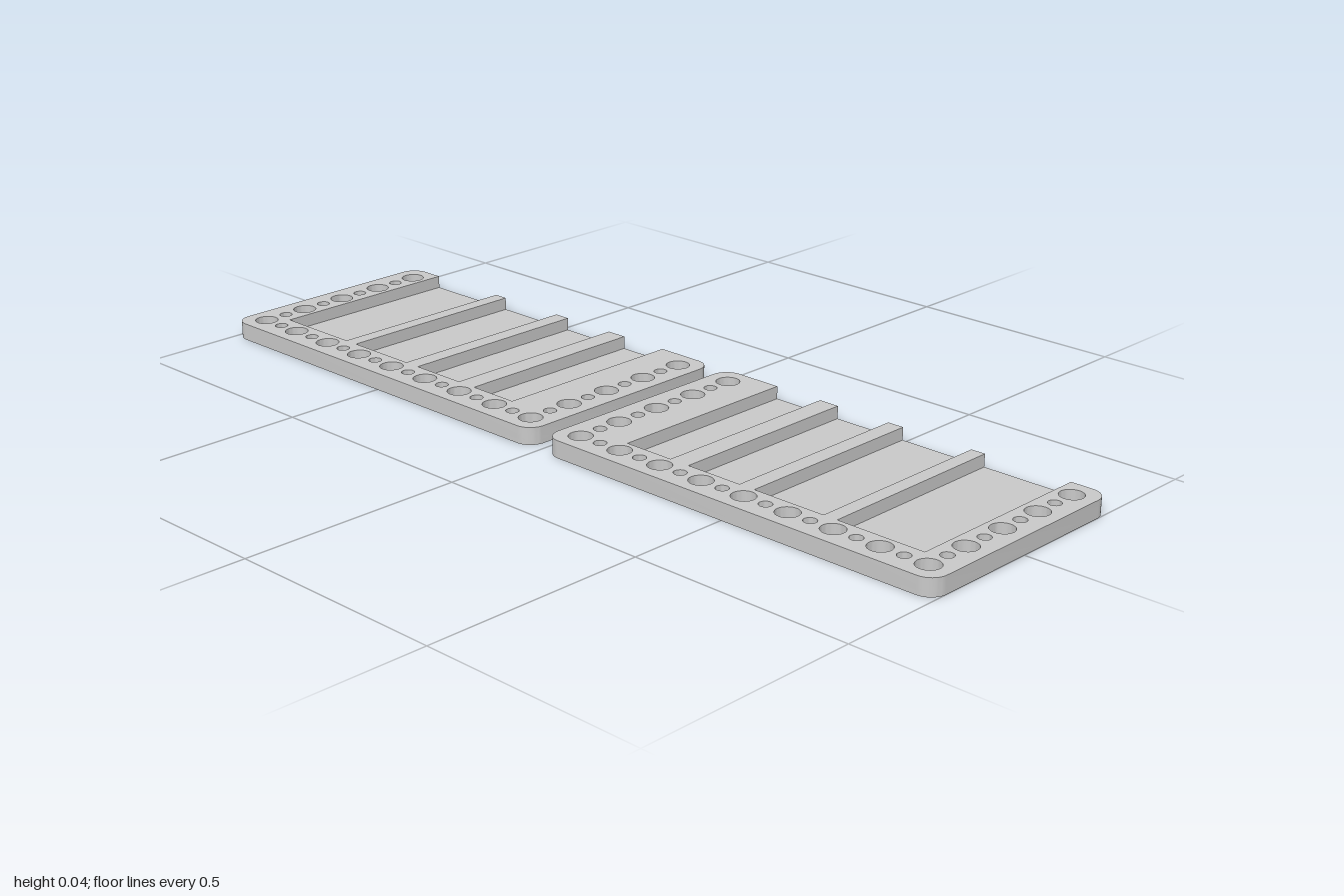
import * as THREE from 'three';
import { toCreasedNormals } from 'three/addons/utils/BufferGeometryUtils.js';

const HEIGHT = 0.038, FLOOR = 0.01;           // full thickness and tray floor thickness
const X0 = 0.021, X1 = 1, Z = 0.27, R = 0.038; // plate extents and corner radius
const SLOT_FRONT = 0.182;
const SLOTS = [[0.168, 0.286], [0.334, 0.467], [0.505, 0.676], [0.709, 0.912]];
const HOLE_X0 = 0.073, HOLE_X1 = 0.949, HOLE_Z = 0.219, STEP = (HOLE_X1 - HOLE_X0) / 16;

// Points of a quarter-round corner; shape y is -z
function corner(cx, cy, start) {
  const pts = [];
  for (let i = 0; i <= 10; i++) {
    const a = start + (i / 10) * Math.PI / 2;
    pts.push([cx + R * Math.cos(a), cy + R * Math.sin(a)]);
  }
  return pts;
}

// Rounded plate outline, optionally notched by slots open at the back
function outline(side, slotted) {
  const pts = [
    ...corner(X0 + R, -Z + R, Math.PI),
    ...corner(X1 - R, -Z + R, Math.PI * 1.5),
    ...corner(X1 - R, Z - R, 0),
  ];
  if (slotted) {
    for (const [a, b] of [...SLOTS].reverse()) {
      pts.push([b, Z], [b, -SLOT_FRONT], [a, -SLOT_FRONT], [a, Z]);
    }
  }
  pts.push(...corner(X0 + R, Z - R, Math.PI / 2));
  return new THREE.Shape(pts.map(([x, y]) => new THREE.Vector2(side * x, y)));
}

// Alternating large and small holes along the front and both ends
function addHoles(shape, side) {
  const drill = (x, z, i) => {
    const hole = new THREE.Path();
    // Holes wind opposite to the outline, which flips on the mirrored side
    hole.absarc(side * x, -z, i % 2 ? 0.014 : 0.0255, 0, Math.PI * 2, side > 0);
    shape.holes.push(hole);
  };
  for (let i = 0; i <= 16; i++) drill(HOLE_X0 + i * STEP, HOLE_Z, i);
  for (let i = 1; i <= 8; i++) {
    drill(HOLE_X0, HOLE_Z - i * STEP, i);
    drill(HOLE_X1, HOLE_Z - i * STEP, i);
  }
}

function layer(name, side, slotted, y, depth, material) {
  const shape = outline(side, slotted);
  addHoles(shape, side);
  const geometry = new THREE.ExtrudeGeometry(shape, { depth, bevelEnabled: false, curveSegments: 16 });
  geometry.rotateX(-Math.PI / 2);
  geometry.translate(0, y, 0);
  const mesh = new THREE.Mesh(toCreasedNormals(geometry, 0.6), material);
  mesh.name = name;
  return mesh;
}

export function createModel() {
  const group = new THREE.Group();
  group.name = 'slottedTrayPair';
  const gray = new THREE.MeshStandardMaterial({ color: 0xc8c8c8 });
  gray.name = 'lightGray';

  // Mirrored pair of trays
  for (const side of [-1, 1]) {
    const tray = new THREE.Group();
    tray.name = side > 0 ? 'leftTray' : 'rightTray';
    tray.add(layer('trayFloor', side, false, 0, FLOOR, gray));
    tray.add(layer('rimAndDividers', side, true, FLOOR, HEIGHT - FLOOR, gray));
    group.add(tray);
  }
  return group;
}
